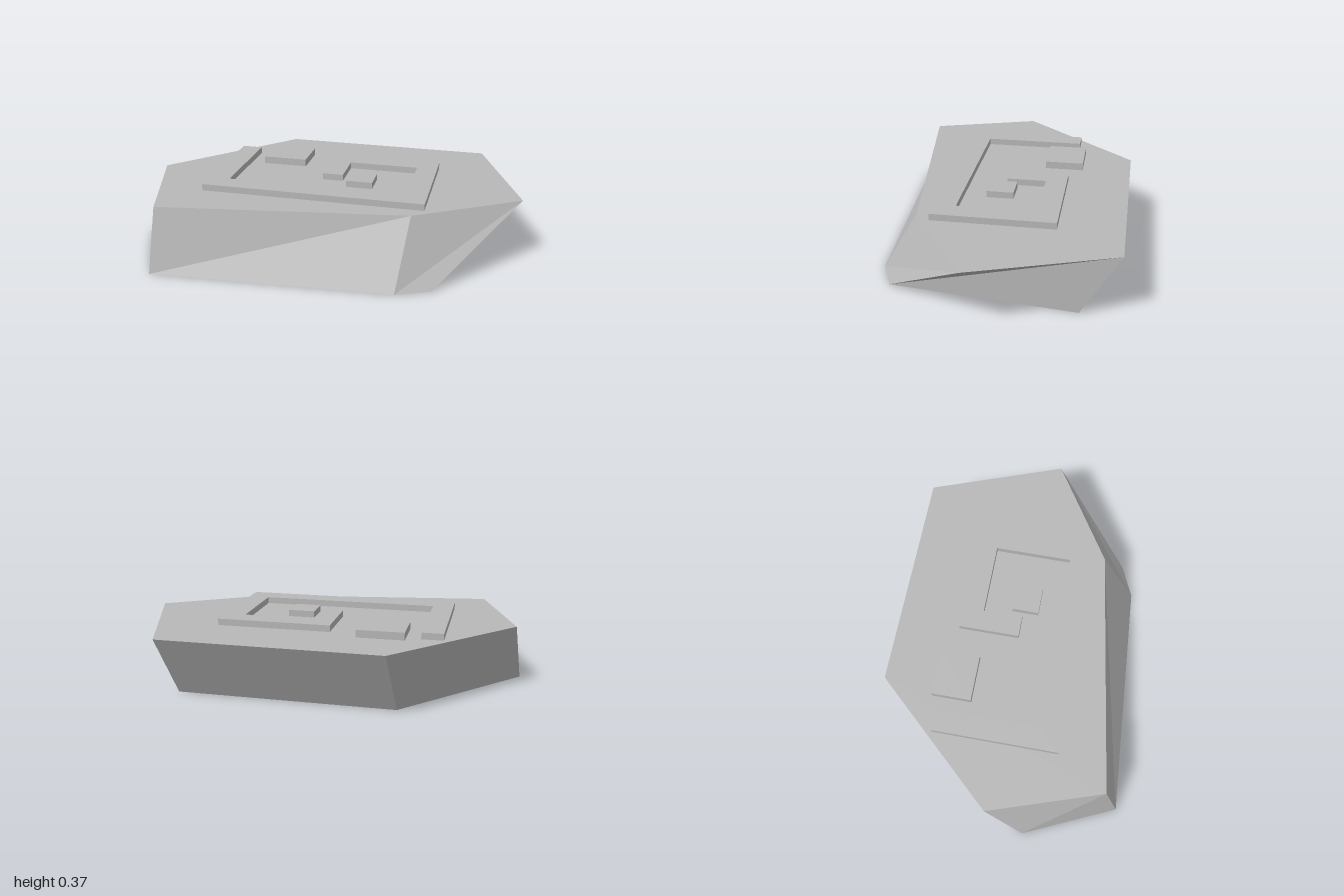
import * as THREE from 'three';

const stone = new THREE.MeshStandardMaterial({ color: 0xb8b8b8, flatShading: true });
stone.name = 'stone grey';

const TOP_Y = 0.333;

// Matching outlines as [x, z], counter-clockwise seen from above
const topRing = [[-0.775, 0.56], [0.48, 0.37], [1, 0.045], [0.75, -0.645], [-0.39, -0.65], [-0.965, -0.015]];
const bottomRing = [[-0.79, 0.645], [0.44, 0.565], [0.61, 0.49], [0.715, -0.455], [-0.42, -0.46], [-1, 0.18]];

// Faceted slab: two rings joined by triangle pairs, then capped
function slabGeometry() {
  const T = topRing.map(([x, z]) => [x, TOP_Y, z]);
  const B = bottomRing.map(([x, z]) => [x, 0, z]);
  const n = T.length;
  const pos = [];
  const tri = (a, b, c) => pos.push(...a, ...b, ...c);
  for (let i = 0; i < n; i++) {
    const j = (i + 1) % n;
    tri(B[i], T[j], T[i]);
    tri(B[i], B[j], T[j]);
  }
  for (let i = 1; i < n - 1; i++) {
    tri(T[0], T[i], T[i + 1]);
    tri(B[0], B[i + 1], B[i]);
  }
  const g = new THREE.BufferGeometry();
  g.setAttribute('position', new THREE.Float32BufferAttribute(pos, 3));
  g.computeVertexNormals();
  return g;
}

// Raised plate from an [x, z] outline, standing on the slab's top
function plate(name, outline, height) {
  const shape = new THREE.Shape(outline.map(([x, z]) => new THREE.Vector2(x, -z)));
  const g = new THREE.ExtrudeGeometry(shape, { depth: height, bevelEnabled: false });
  g.rotateX(-Math.PI / 2);
  const mesh = new THREE.Mesh(g, stone);
  mesh.position.y = TOP_Y;
  mesh.name = name;
  return mesh;
}

const rect = (x0, x1, z0, z1) => [[x0, z1], [x1, z1], [x1, z0], [x0, z0]];

export function createModel() {
  const model = new THREE.Group();
  model.name = 'carvedStone';

  const slab = new THREE.Mesh(slabGeometry(), stone);
  slab.name = 'slab';
  model.add(slab);

  // Square spiral relief with two blocks
  model.add(plate('spiralRelief', [
    [-0.625, -0.35], [-0.515, -0.35], [-0.515, 0.185], [0.425, 0.185],
    [0.425, -0.215], [0.055, -0.215], [0.055, -0.01], [-0.055, -0.01],
    [-0.055, -0.325], [0.535, -0.325], [0.535, 0.295], [-0.625, 0.295],
  ], 0.034));
  model.add(plate('outerBlock', rect(-0.44, -0.2, -0.39, -0.185), 0.039));
  model.add(plate('centreBlock', rect(0.09, 0.23, -0.07, 0.07), 0.034));

  return model;
}
